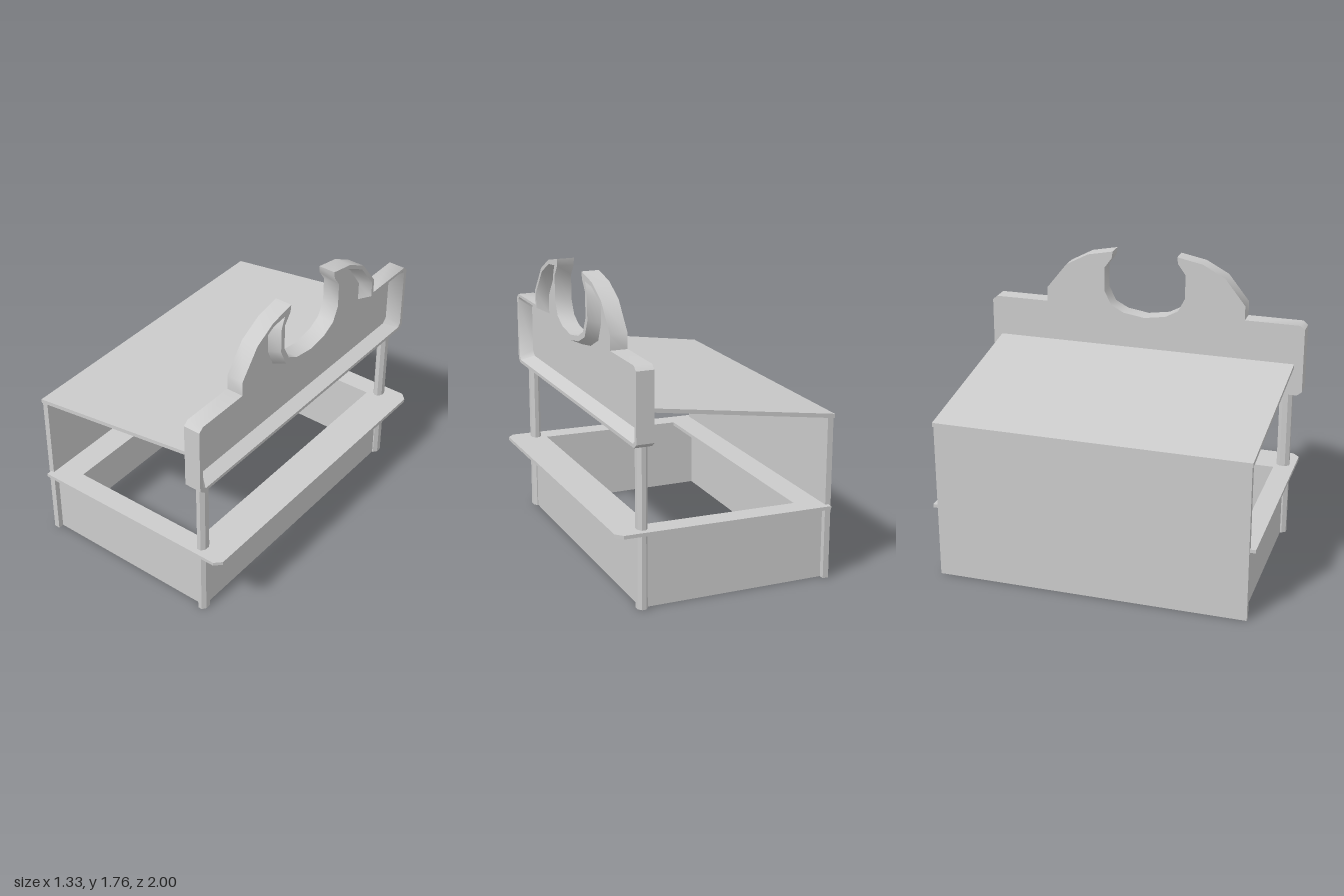
import * as THREE from 'three';
import { toCreasedNormals } from 'three/addons/utils/BufferGeometryUtils.js';

const material = new THREE.MeshStandardMaterial({ color: 0xcccccc, side: THREE.DoubleSide });

function add(group, name, geometry, x = 0, y = 0, z = 0) {
  const mesh = new THREE.Mesh(geometry, material);
  mesh.name = name;
  mesh.position.set(x, y, z);
  group.add(mesh);
  return mesh;
}

// Box given by its limits along each axis
function slab(group, name, [x0, x1], [y0, y1], [z0, z1]) {
  return add(group, name, new THREE.BoxGeometry(x1 - x0, y1 - y0, z1 - z0),
    (x0 + x1) / 2, (y0 + y1) / 2, (z0 + z1) / 2);
}

// Right half of an outline, bottom to top centre, mirrored to a closed loop
function mirrored(half) {
  const left = half.slice(0, -1).reverse().map(([u, y]) => [-u, y]);
  return [...half, ...left];
}

// Tray-shaped sign: outer wall, raised rim, sloping inner wall, recessed panel
function signGeometry() {
  const outer = mirrored([[0.97, 0.95], [1, 0.975], [1, 1.375], [0.97, 1.4], [0.632, 1.4],
    [0.632, 1.489], [0.504, 1.65], [0.364, 1.725], [0.204, 1.757], [0.21, 1.714],
    [0.257, 1.65], [0.257, 1.5], [0.214, 1.414], [0.134, 1.371], [0, 1.35]]);
  const rim = mirrored([[0.955, 0.97], [0.975, 0.99], [0.975, 1.365], [0.955, 1.383], [0.612, 1.383],
    [0.612, 1.48], [0.49, 1.632], [0.36, 1.7], [0.257, 1.71], [0.268, 1.69],
    [0.287, 1.64], [0.287, 1.49], [0.24, 1.388], [0.137, 1.34], [0, 1.318]]);
  const floor = mirrored([[0.895, 1.005], [0.922, 1.035], [0.922, 1.315], [0.895, 1.347], [0.584, 1.347],
    [0.584, 1.46], [0.477, 1.607], [0.38, 1.655], [0.29, 1.668], [0.3, 1.65],
    [0.314, 1.62], [0.311, 1.478], [0.262, 1.366], [0.139, 1.307], [0, 1.285]]);
  const n = outer.length;
  const loops = [[outer, 0.455], [outer, 0.558], [rim, 0.558], [floor, 0.485]];
  const positions = loops.flatMap(([loop, x]) => loop.flatMap(([u, y]) => [x, y, -u]));
  const index = [];
  for (let k = 0; k < loops.length - 1; k++) {
    for (let i = 0; i < n; i++) {
      const j = (i + 1) % n, a = k * n, b = a + n;
      index.push(a + i, a + j, b + j, a + i, b + j, b + i);
    }
  }
  const cap = (loop) => THREE.ShapeUtils.triangulateShape(loop.map(([u, y]) => new THREE.Vector2(u, y)), []);
  for (const [a, b, c] of cap(outer)) index.push(a, c, b);
  for (const [a, b, c] of cap(floor)) index.push(3 * n + a, 3 * n + b, 3 * n + c);
  const geometry = new THREE.BufferGeometry();
  geometry.setAttribute('position', new THREE.Float32BufferAttribute(positions, 3));
  geometry.setIndex(index);
  return toCreasedNormals(geometry, 0.7);
}

// Counter ring with chamfered front corners, rising slightly to the front
function counterGeometry() {
  const points = (list) => list.map(([x, z]) => new THREE.Vector2(x, z));
  const shape = new THREE.Shape(points([[-0.645, -0.975], [0.62, -0.975], [0.66, -0.935],
    [0.66, 0.935], [0.62, 0.975], [-0.645, 0.975]]));
  shape.holes.push(new THREE.Path(points([[-0.47, -0.85], [-0.47, 0.85], [0.43, 0.85], [0.43, -0.85]])));
  const geometry = new THREE.ExtrudeGeometry(shape, { depth: 0.021, bevelEnabled: false });
  geometry.rotateX(-Math.PI / 2);
  const p = geometry.attributes.position;
  for (let i = 0; i < p.count; i++) p.setY(i, p.getY(i) + 0.431 + (p.getX(i) + 0.645) * 0.0125);
  geometry.computeVertexNormals();
  return geometry;
}

// Sloping roof, extruded from its side profile
function roofGeometry() {
  const profile = [[-0.665, 0.963], [0.458, 1.128], [0.458, 1.151], [-0.665, 0.988]];
  const shape = new THREE.Shape(profile.map(([x, y]) => new THREE.Vector2(x, y)));
  const geometry = new THREE.ExtrudeGeometry(shape, { depth: 1.89, bevelEnabled: false });
  return geometry.translate(0, 0, -0.945);
}

export function createModel() {
  const group = new THREE.Group();
  group.name = 'marketStall';

  // Enclosure
  slab(group, 'backWall', [-0.66, -0.625], [0, 0.972], [-0.94, 0.94]);
  slab(group, 'frontPanel', [0.484, 0.496], [0, 0.445], [-0.9, 0.9]);
  for (const side of [-1, 1]) {
    const z = side * 0.9;
    slab(group, side > 0 ? 'leftPanel' : 'rightPanel', [-0.63, 0.49], [0, 0.44], [z - 0.006, z + 0.006]);

    // Eight-sided front post
    const post = new THREE.CylinderGeometry(1, 1, 0.96, 8).rotateY(Math.PI / 8);
    const r = 1 / Math.cos(Math.PI / 8);
    post.scale(0.03 * r, 1, 0.039 * r);
    add(group, side > 0 ? 'leftPost' : 'rightPost', toCreasedNormals(post, 0.5), 0.49, 0.48, z);
  }

  add(group, 'counter', counterGeometry());
  add(group, 'roof', roofGeometry());
  add(group, 'signBoard', signGeometry());
  return group;
}
